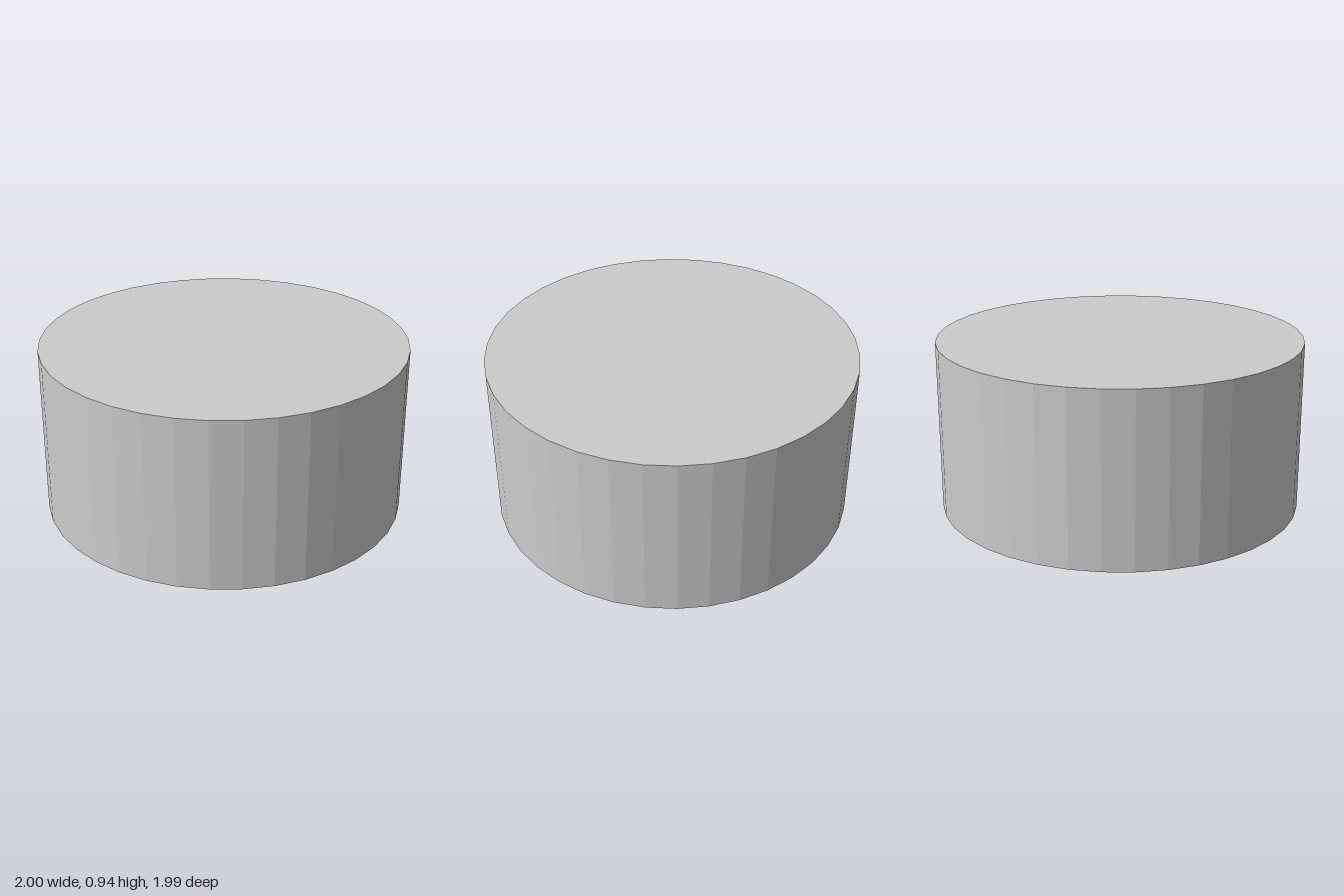
import * as THREE from 'three';

const SIDES = 38;
const RADIUS = 1;
const HEIGHT = 0.94;
const RECESS_RADIUS = 0.47;
const RECESS_DEPTH = 0.075;

export function createModel() {
  const group = new THREE.Group();
  group.name = 'recessedDisc';

  // Closed profile: recess ceiling, recess wall, underside, outer wall, top
  const profile = [
    [0, RECESS_DEPTH],
    [RECESS_RADIUS, RECESS_DEPTH],
    [RECESS_RADIUS, 0],
    [RADIUS, 0],
    [RADIUS, HEIGHT],
    [0, HEIGHT],
  ].map(([r, y]) => new THREE.Vector2(r, y));

  // Start at +x so a corner lies on the x axis; facets stay crisp
  const geometry = new THREE.LatheGeometry(profile, SIDES, Math.PI / 2).toNonIndexed();
  geometry.computeVertexNormals();

  const body = new THREE.Mesh(
    geometry,
    new THREE.MeshStandardMaterial({ color: 0xcccccc, flatShading: true })
  );
  body.name = 'body';
  group.add(body);
  return group;
}
